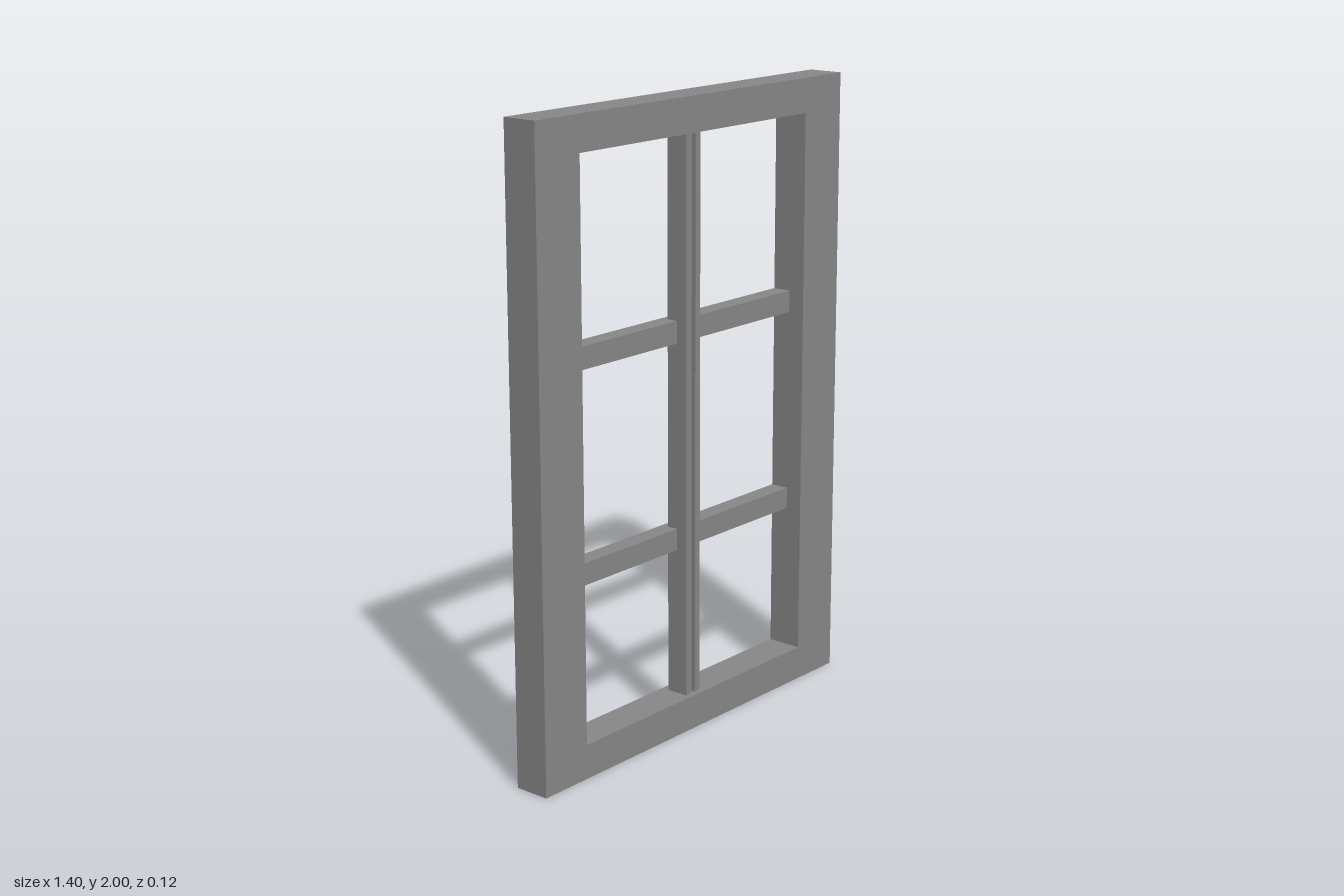
import * as THREE from 'three';

const W = 0.702, H = 2, Z = 0.058;              // outer frame half width, height, half depth
const IX = 0.522, IY0 = 0.11, IY1 = 1.89;       // opening

const material = new THREE.MeshStandardMaterial({ color: 0x888888, side: THREE.DoubleSide, flatShading: true });

function addMesh(parent, name, geometry) {
  const mesh = new THREE.Mesh(geometry, material);
  mesh.name = name;
  parent.add(mesh);
  return mesh;
}

// Sweeps an open 2D profile from a to b; place(p, q, t) turns it into x, y, z.
function sheet(profile, a, b, place) {
  const positions = [];
  for (let i = 0; i < profile.length - 1; i++) {
    const [p, q] = [profile[i], profile[i + 1]];
    const c = [place(...p, a), place(...q, a), place(...q, b), place(...p, b)];
    for (const k of [0, 1, 2, 0, 2, 3]) positions.push(...c[k]);
  }
  const geometry = new THREE.BufferGeometry();
  geometry.setAttribute('position', new THREE.Float32BufferAttribute(positions, 3));
  geometry.computeVertexNormals();
  return geometry;
}

// Closed counter-clockwise rectangle
const rectangle = (x, y0, y1) => [[-x, y0], [x, y0], [x, y1], [-x, y1], [-x, y0]];

export function createModel() {
  const model = new THREE.Group();
  model.name = 'window';

  // Frame: front face with outer and inner walls, open at the back
  const frame = new THREE.Group();
  frame.name = 'frame';
  model.add(frame);
  const toVectors = (points) => points.slice(0, 4).map(([x, y]) => new THREE.Vector2(x, y));
  const outer = rectangle(W, 0, H);
  const inner = rectangle(IX, IY0, IY1).reverse();
  const face = new THREE.Shape(toVectors(outer));
  face.holes.push(new THREE.Path(toVectors(inner)));
  addMesh(frame, 'frameFace', new THREE.ShapeGeometry(face)).position.z = Z;
  const alongZ = (x, y, t) => [x, y, t];
  addMesh(frame, 'frameOuterWalls', sheet(outer, -Z, Z, alongZ));
  addMesh(frame, 'frameInnerWalls', sheet(inner, -Z, Z, alongZ));

  // Vertical bar: channel with a deep groove down its front, open at the back
  const front = 0.04, back = -0.034, floor = -0.02;
  const barProfile = [
    [-0.037, back], [-0.037, front], [-0.012, front], [-0.012, floor],
    [0.005, floor], [0.005, front], [0.028, front], [0.028, back],
  ];
  addMesh(model, 'verticalBar', sheet(barProfile, IY0, IY1, (x, z, t) => [x, t, z]));

  // Horizontal bars: plain channels set to the back of the frame
  for (const [name, y0, y1] of [['lowerBar', 0.586, 0.655], ['upperBar', 1.246, 1.316]]) {
    const profile = [[-Z, y1], [0.003, y1], [0.003, y0], [-Z, y0]];
    addMesh(model, name, sheet(profile, -IX, IX, (z, y, t) => [t, y, z]));
  }

  return model;
}
